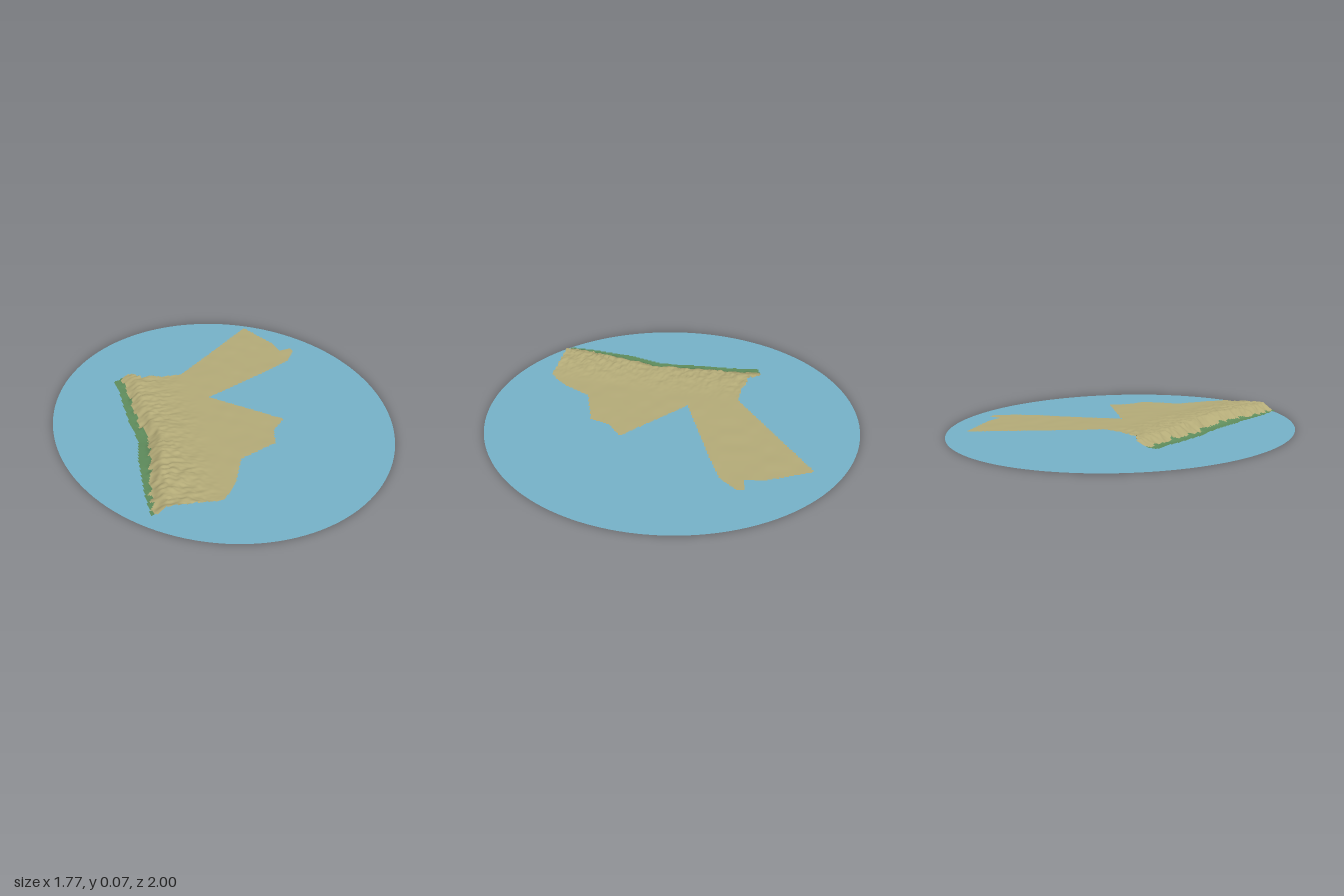
import * as THREE from 'three';

const sand = new THREE.MeshStandardMaterial({ name: 'sand', color: 0xb4ab78, side: THREE.DoubleSide });
const valleyGreen = new THREE.MeshStandardMaterial({ name: 'valleyGreen', color: 0x5f8c5c, side: THREE.DoubleSide });
const water = new THREE.MeshStandardMaterial({ name: 'water', color: 0x76b2c8, side: THREE.DoubleSide });

// Land outline as [x, z], clockwise from the north-west corner
const outline = [
  [-0.45, -0.48], [-0.38, -0.5], [-0.34, -0.49], [-0.3, -0.42], [-0.24, -0.41], [-0.2, -0.38],
  [-0.085, -0.36], [0.48, -0.71], [0.505, -0.62], [0.55, -0.475], [0.55, -0.365], [0.625, -0.365],
  [0.625, -0.33], [0.55, -0.255], [0.385, -0.2], [-0.03, -0.085], [0.245, 0.255], [0.155, 0.32],
  [0.11, 0.42], [-0.1, 0.465], [-0.195, 0.61], [-0.295, 0.7], [-0.39, 0.68], [-0.625, 0.64],
  [-0.605, 0.5], [-0.55, 0.25], [-0.495, 0.08], [-0.485, -0.1], [-0.465, -0.27], [-0.45, -0.37],
];
const westEdge = [...outline.slice(23).reverse()];
westEdge.unshift([-0.45, -0.5]);

// Piecewise linear lookup in [value, position] pairs
function lookup(pairs, t) {
  if (t <= pairs[0][1]) return pairs[0][0];
  for (let i = 1; i < pairs.length; i++) {
    const [a, p] = pairs[i - 1], [b, q] = pairs[i];
    if (t <= q) return a + (b - a) * (t - p) / (q - p);
  }
  return pairs[pairs.length - 1][0];
}

function insideLand(x, z) {
  let inside = false;
  for (let i = 0, j = outline.length - 1; i < outline.length; j = i++) {
    const [xi, zi] = outline[i], [xj, zj] = outline[j];
    if ((zi > z) !== (zj > z) && x < xi + (xj - xi) * (z - zi) / (zj - zi)) inside = !inside;
  }
  return inside;
}

// Smooth value noise in -1..1
const hash = (i, j) => {
  const s = Math.sin(i * 127.1 + j * 311.7) * 43758.5453;
  return (s - Math.floor(s)) * 2 - 1;
};
function noise(x, z) {
  const i = Math.floor(x), j = Math.floor(z);
  const u = THREE.MathUtils.smoothstep(x - i, 0, 1), v = THREE.MathUtils.smoothstep(z - j, 0, 1);
  const { lerp } = THREE.MathUtils;
  return lerp(lerp(hash(i, j), hash(i + 1, j), u), lerp(hash(i, j + 1), hash(i + 1, j + 1), u), v);
}

// Rift valley along the west, a rugged escarpment, then a flat eastern plateau
const valleyFloor = [[0.022, -0.5], [0.014, -0.3], [0.01, -0.05], [0.012, 0.1], [0.024, 0.3], [0.026, 0.5], [0.03, 0.64]];
const ridgeHeight = [[0.052, -0.5], [0.056, -0.2], [0.06, 0.05], [0.066, 0.25], [0.068, 0.45], [0.063, 0.7]];
const valleyWidth = [[0.05, -0.5], [0.04, -0.2], [0.045, 0], [0.06, 0.2], [0.04, 0.4], [0.015, 0.6]];
const fromWest = (x, z) => x - lookup(westEdge, z);

function height(x, z) {
  const d = fromWest(x, z) + 0.012 * noise(x * 22, z * 38);
  const w = lookup(valleyWidth, z);
  const climb = THREE.MathUtils.smoothstep(d, w * 0.6, w + 0.07);
  const east = THREE.MathUtils.smoothstep(d, 0.1, 0.4);
  const plateau = 0.049 - 0.004 * THREE.MathUtils.smoothstep(x, -0.1, 0.4);
  const upland = THREE.MathUtils.lerp(lookup(ridgeHeight, z), plateau, east);
  const rugged = climb * (1 - east) * (z > 0.3 ? 1.3 : 1);
  const bumps = rugged * (0.005 * noise(x * 35, z * 60) + 0.003 * noise(x * 80, z * 110))
    + 0.0012 * noise(x * 14, z * 14);
  return THREE.MathUtils.lerp(lookup(valleyFloor, z), upland, climb) + bumps;
}

// Fine grid of land cells, grouped into sand and green
function landGeometry() {
  const step = 0.008, x0 = -0.632, z0 = -0.72, nx = 158, nz = 180;
  const positions = [], ids = new Map(), sandFaces = [], greenFaces = [];
  const vertex = (i, j) => {
    const key = j * 1000 + i;
    if (!ids.has(key)) {
      const x = x0 + i * step, z = z0 + j * step;
      ids.set(key, positions.length / 3);
      positions.push(x, height(x, z), z);
    }
    return ids.get(key);
  };
  for (let j = 0; j < nz; j++) {
    for (let i = 0; i < nx; i++) {
      const x = x0 + (i + 0.5) * step, z = z0 + (j + 0.5) * step;
      if (!insideLand(x, z)) continue;
      const a = vertex(i, j), b = vertex(i + 1, j), c = vertex(i + 1, j + 1), d = vertex(i, j + 1);
      const edge = lookup(valleyWidth, z) + 0.012 * noise(3, z * 40);
      (fromWest(x, z) < edge ? greenFaces : sandFaces).push(a, d, c, a, c, b);
    }
  }
  const geometry = new THREE.BufferGeometry();
  geometry.setAttribute('position', new THREE.Float32BufferAttribute(positions, 3));
  geometry.setIndex([...sandFaces, ...greenFaces]);
  geometry.addGroup(0, sandFaces.length, 0);
  geometry.addGroup(sandFaces.length, greenFaces.length, 1);
  geometry.computeVertexNormals();
  return geometry;
}

export function createModel() {
  const model = new THREE.Group();
  model.name = 'reliefMap';

  // Flat oval base
  const base = new THREE.Mesh(new THREE.CircleGeometry(1, 128).rotateX(-Math.PI / 2), water);
  base.scale.x = 0.884;
  base.name = 'waterBase';
  model.add(base);

  // Raised land sheet
  const land = new THREE.Mesh(landGeometry(), [sand, valleyGreen]);
  land.name = 'landRelief';
  model.add(land);

  return model;
}
